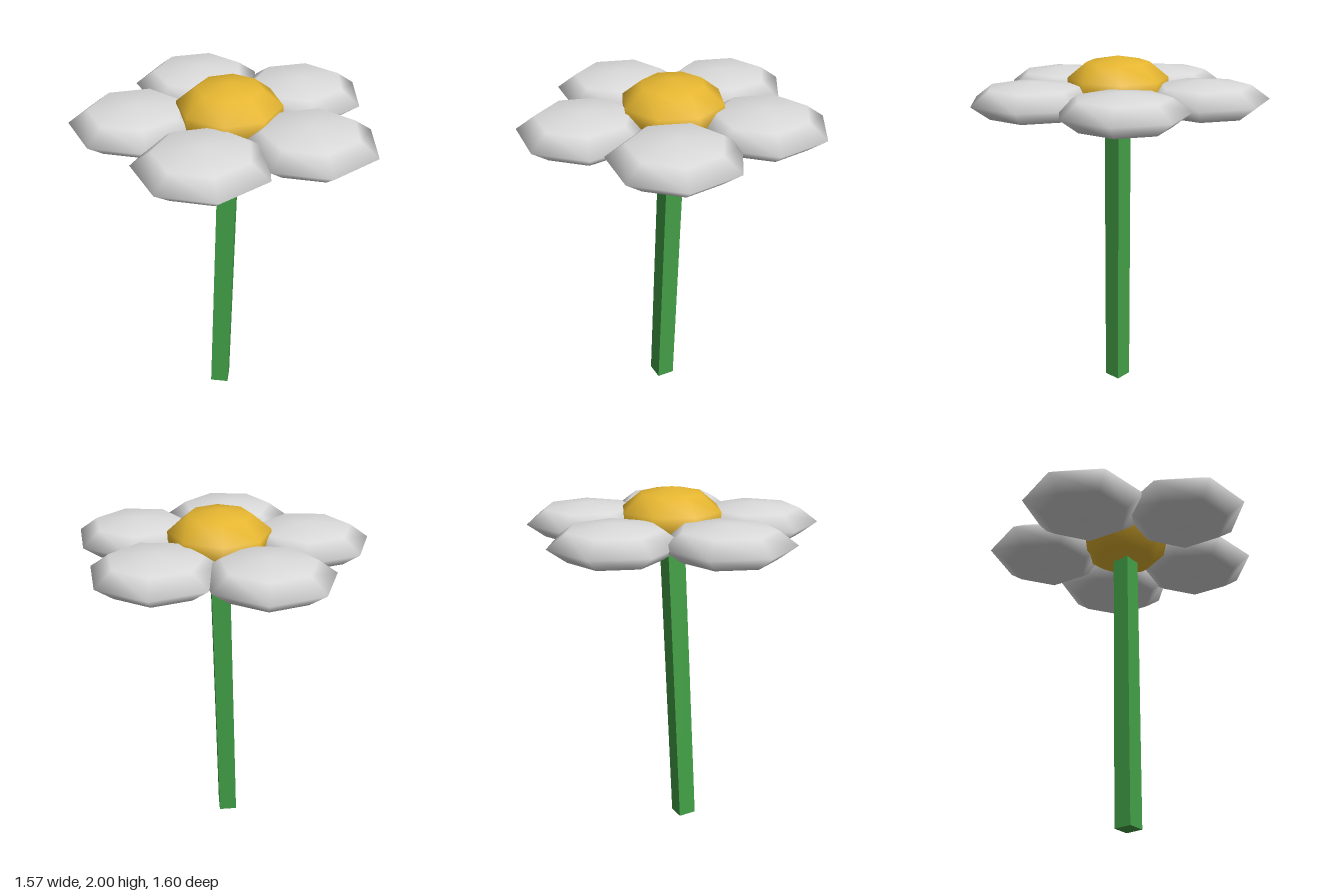
import * as THREE from 'three';

const petalGrey = new THREE.MeshStandardMaterial({ color: 0xdcdcdc });
petalGrey.name = 'petalGrey';
const centreYellow = new THREE.MeshStandardMaterial({ color: 0xecbb32 });
centreYellow.name = 'centreYellow';
const stemGreen = new THREE.MeshStandardMaterial({ color: 0x43a047 });
stemGreen.name = 'stemGreen';

// Squashed low-poly sphere, smooth normals, one corner pointing to the back
function blob(name, material, radius, halfHeight, sides, rings, x, y, z) {
  const geometry = new THREE.SphereGeometry(radius, sides, rings);
  geometry.rotateY(-Math.PI / 2);
  geometry.scale(1, halfHeight / radius, 1);
  const mesh = new THREE.Mesh(geometry, material);
  mesh.name = name;
  mesh.position.set(x, y, z);
  return mesh;
}

export function createModel() {
  const flower = new THREE.Group();
  flower.name = 'flower';

  // Five petals, all turned the same way
  const petals = new THREE.Group();
  petals.name = 'petals';
  const spots = [[0.105, -0.446], [0.44, 0.016], [0.105, 0.477], [-0.44, 0.302], [-0.44, -0.27]];
  spots.forEach(([x, z], i) => {
    petals.add(blob(`petal${i + 1}`, petalGrey, 0.355, 0.107, 7, 4, x, 1.783, z));
  });
  flower.add(petals);

  // Domed centre
  flower.add(blob('flowerCentre', centreYellow, 0.294, 0.173, 8, 5, -0.047, 1.827, 0.016));

  // Square stem, leaning slightly
  const length = 1.7;
  const stemGeometry = new THREE.CylinderGeometry(0.073, 0.073, length, 4).toNonIndexed();
  stemGeometry.translate(0, length / 2, 0);
  stemGeometry.computeVertexNormals();
  const stem = new THREE.Mesh(stemGeometry, stemGreen);
  stem.name = 'stem';
  stem.position.set(-0.132, 0.004, 0.018);
  stem.rotation.z = -0.0477;
  flower.add(stem);

  return flower;
}
